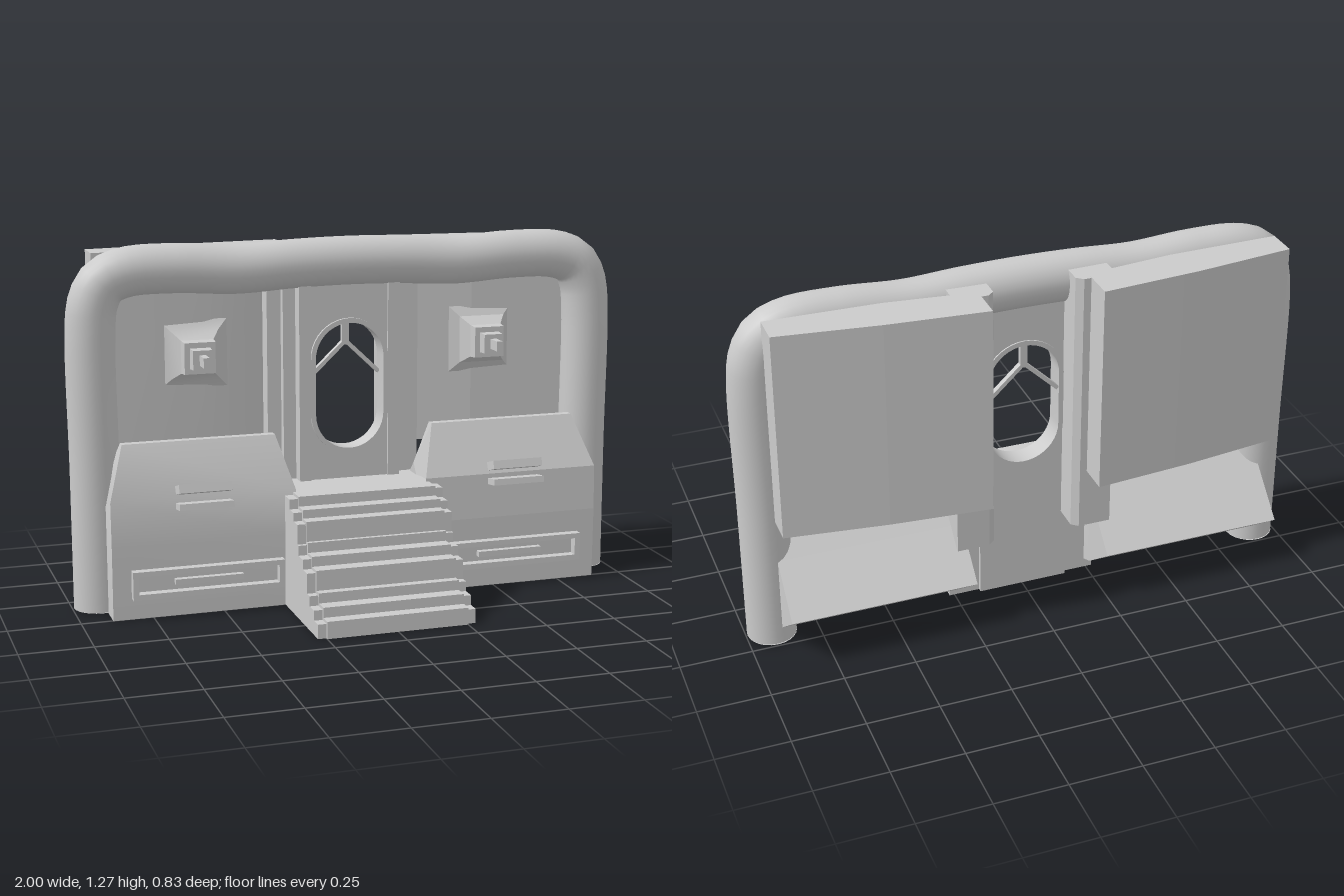
import * as THREE from 'three';
import { toCreasedNormals } from 'three/addons/utils/BufferGeometryUtils.js';

const material = new THREE.MeshStandardMaterial({ color: 0xcccccc, side: THREE.DoubleSide });

function mesh(name, geometry, x = 0, y = 0, z = 0) {
  const m = new THREE.Mesh(geometry, material);
  m.name = name;
  m.position.set(x, y, z);
  return m;
}
const box = (name, w, h, d, x, y, z) => mesh(name, new THREE.BoxGeometry(w, h, d), x, y, z);
const outline = (pts) => new THREE.Shape(pts.map(([a, b]) => new THREE.Vector2(a, b)));
const extrude = (shape, depth) =>
  new THREE.ExtrudeGeometry(shape, { depth, bevelEnabled: false, curveSegments: 10 });

// Prism from a [z, y] profile, running along x
function alongX(pts, x0, x1) {
  return extrude(outline(pts.map(([z, y]) => [-z, y])), x1 - x0).rotateY(Math.PI / 2).translate(x0, 0, 0);
}
// Prism from an [x, z] plan, running up y
function alongY(pts, y0, y1) {
  return extrude(outline(pts.map(([x, z]) => [x, -z])), y1 - y0).rotateX(-Math.PI / 2).translate(0, y0, 0);
}
// Upright rounded slot around (0, cy)
function slot(path, r, cy, half) {
  path.absarc(0, cy + half - r, r, 0, Math.PI, false);
  path.absarc(0, cy - half + r, r, Math.PI, Math.PI * 2, false);
  path.closePath();
  return path;
}
function rectangle(path, x0, y0, x1, y1) {
  path.moveTo(x0, y0).lineTo(x1, y0).lineTo(x1, y1).lineTo(x0, y1).closePath();
  return path;
}

// Mirror a mesh across x = 0, keeping the faces outward
function mirrored(source) {
  source.updateMatrix();
  let g = source.geometry.clone().applyMatrix4(source.matrix);
  if (g.index) g = g.toNonIndexed();
  g.scale(-1, 1, 1);
  for (const a of Object.values(g.attributes)) {
    const n = a.itemSize;
    for (let i = 0; i < a.count; i += 3)
      for (let k = 0; k < n; k++) {
        const p = (i + 1) * n + k, q = p + n;
        [a.array[p], a.array[q]] = [a.array[q], a.array[p]];
      }
  }
  g.computeVertexNormals();
  return mesh(source.name, toCreasedNormals(g, 0.5));
}

// Padded arch tube with a slightly wavy top
function arch() {
  const half = [[0.91, 0.01], [0.91, 0.5], [0.912, 0.98], [0.9, 1.08], [0.865, 1.145], [0.79, 1.178],
    [0.62, 1.185], [0.4, 1.173], [0.2, 1.183]];
  const pts = [...half.map(([x, y]) => [-x, y]), [0, 1.187], ...half.reverse()];
  const curve = new THREE.CatmullRomCurve3(pts.map(([x, y]) => new THREE.Vector3(x, y, 0)));
  const g = new THREE.Group();
  g.name = 'archFrame';
  g.add(mesh('archTube', new THREE.TubeGeometry(curve, 110, 0.086, 24).scale(1, 1, 0.95), 0, 0, -0.163));
  for (const x of [-0.91, 0.91])
    g.add(mesh('archFoot', new THREE.CircleGeometry(0.086, 24).rotateX(Math.PI / 2), x, 0.01, -0.163));
  return g;
}

// Central doorway with an oval opening and forked brace
function doorway() {
  const g = new THREE.Group();
  g.name = 'doorway';
  const wall = rectangle(new THREE.Shape(), -0.16, 0.01, 0.16, 1.14);
  wall.holes.push(slot(new THREE.Path(), 0.135, 0.745, 0.235));
  g.add(mesh('doorWall', toCreasedNormals(extrude(wall, 0.06), 0.5), 0, 0, -0.2));
  const rim = slot(new THREE.Shape(), 0.142, 0.745, 0.242);
  rim.holes.push(slot(new THREE.Path(), 0.125, 0.745, 0.225));
  g.add(mesh('doorRim', toCreasedNormals(extrude(rim, 0.075), 0.5), 0, 0, -0.205));
  g.add(box('lowerWall', 0.54, 0.4, 0.09, 0, 0.21, -0.14));
  g.add(box('bracePost', 0.025, 0.1, 0.02, 0, 0.935, -0.19));
  for (const s of [-1, 1]) {
    const arm = box('braceArm', 0.175, 0.014, 0.02, s * 0.06, 0.842, -0.19);
    arm.rotation.z = -s * 0.76;
    g.add(arm);
  }
  return g;
}

// Stairs: treads with slightly lower side edges
function stairs() {
  const steps = [[0.41, 0.065], [0.365, 0.1], [0.315, 0.135], [0.285, 0.205], [0.235, 0.24],
    [0.185, 0.275], [0.17, 0.345], [0.125, 0.375], [0.075, 0.41]];
  const profile = (inset) => {
    const pts = [[-0.12, 0.005], [steps[0][0] - inset, 0.005]];
    steps.forEach(([z, y], i) => {
      const next = steps[i + 1] ? steps[i + 1][0] : -0.12 + inset;
      pts.push([z - inset, y - inset], [next - inset, y - inset]);
    });
    return pts;
  };
  const g = new THREE.Group();
  g.name = 'stairs';
  g.add(mesh('treads', alongX(profile(0), -0.25, 0.25)));
  g.add(mesh('stairSides', alongX(profile(0.01), -0.28, 0.28)));
  return g;
}

// One side: cabinet, drawer, handles, back panel, knob and column
function sideParts() {
  const parts = [];

  // Cabinet narrows toward its top and ends in a wedge at the back
  const cabinet = alongX([[-0.1, 0.005], [0.005, 0.005], [0.01, 0.26], [0.005, 0.42], [-0.08, 0.6],
    [-0.11, 0.6], [-0.13, 0.45], [-0.24, 0.34], [-0.395, 0.19], [-0.24, 0.07]], 0.24, 0.89);
  const p = cabinet.attributes.position;
  for (let i = 0; i < p.count; i++) {
    if (p.getY(i) > 0.55) p.setX(i, p.getX(i) > 0.5 ? 0.83 : 0.29);
  }
  cabinet.computeVertexNormals();
  parts.push(mesh('cabinet', cabinet));

  // Drawer frame with a recessed pull
  const drawer = rectangle(new THREE.Shape(), 0.29, 0.08, 0.825, 0.18);
  drawer.holes.push(rectangle(new THREE.Path(), 0.31, 0.1, 0.805, 0.162));
  parts.push(mesh('drawerFrame', extrude(drawer, 0.04)));
  parts.push(box('drawerPull', 0.24, 0.02, 0.03, 0.555, 0.13, 0.015));

  // Pair of handles
  const upper = box('upperHandle', 0.185, 0.03, 0.09, 0.57, 0.45, 0.01);
  upper.rotation.x = -0.3;
  const lower = box('lowerHandle', 0.19, 0.022, 0.08, 0.57, 0.397, 0.03);
  lower.rotation.x = -0.15;
  parts.push(upper, lower);

  // Thick angled panel behind the arch
  parts.push(mesh('backPanel', alongY([[0.89, -0.235], [0.89, -0.345], [0.54, -0.39], [0.19, -0.42],
    [0.19, -0.3], [0.28, -0.27], [0.5, -0.245]], 0.5, 1.238)));

  // Four-sided flared knob
  const flare = [[0.12, 0], [0.085, 0.02], [0.058, 0.06], [0.055, 0.1], [0.036, 0.1], [0.034, 0.14], [0, 0.14]]
    .map(([r, y]) => new THREE.Vector2(r * Math.SQRT2, y));
  const knob = new THREE.LatheGeometry(flare, 4, Math.PI / 4).rotateX(Math.PI / 2).toNonIndexed();
  knob.computeVertexNormals();
  parts.push(mesh('knobBase', knob, 0.535, 0.87, -0.25));
  parts.push(box('knobTip', 0.022, 0.036, 0.07, 0.535, 0.87, -0.085));

  // Stepped column beside the doorway
  parts.push(mesh('column', alongY([[0.142, -0.13], [0.185, -0.13], [0.185, -0.18], [0.23, -0.18],
    [0.23, -0.21], [0.28, -0.21], [0.28, -0.31], [0.165, -0.31], [0.142, -0.29]], 0.28, 1.236)));
  return parts;
}

export function createModel() {
  const model = new THREE.Group();
  model.name = 'playStructure';
  const left = new THREE.Group();
  const right = new THREE.Group();
  left.name = 'leftSide';
  right.name = 'rightSide';
  for (const part of sideParts()) {
    left.add(part);
    right.add(mirrored(part));
  }
  model.add(arch(), doorway(), stairs(), left, right);
  return model;
}
